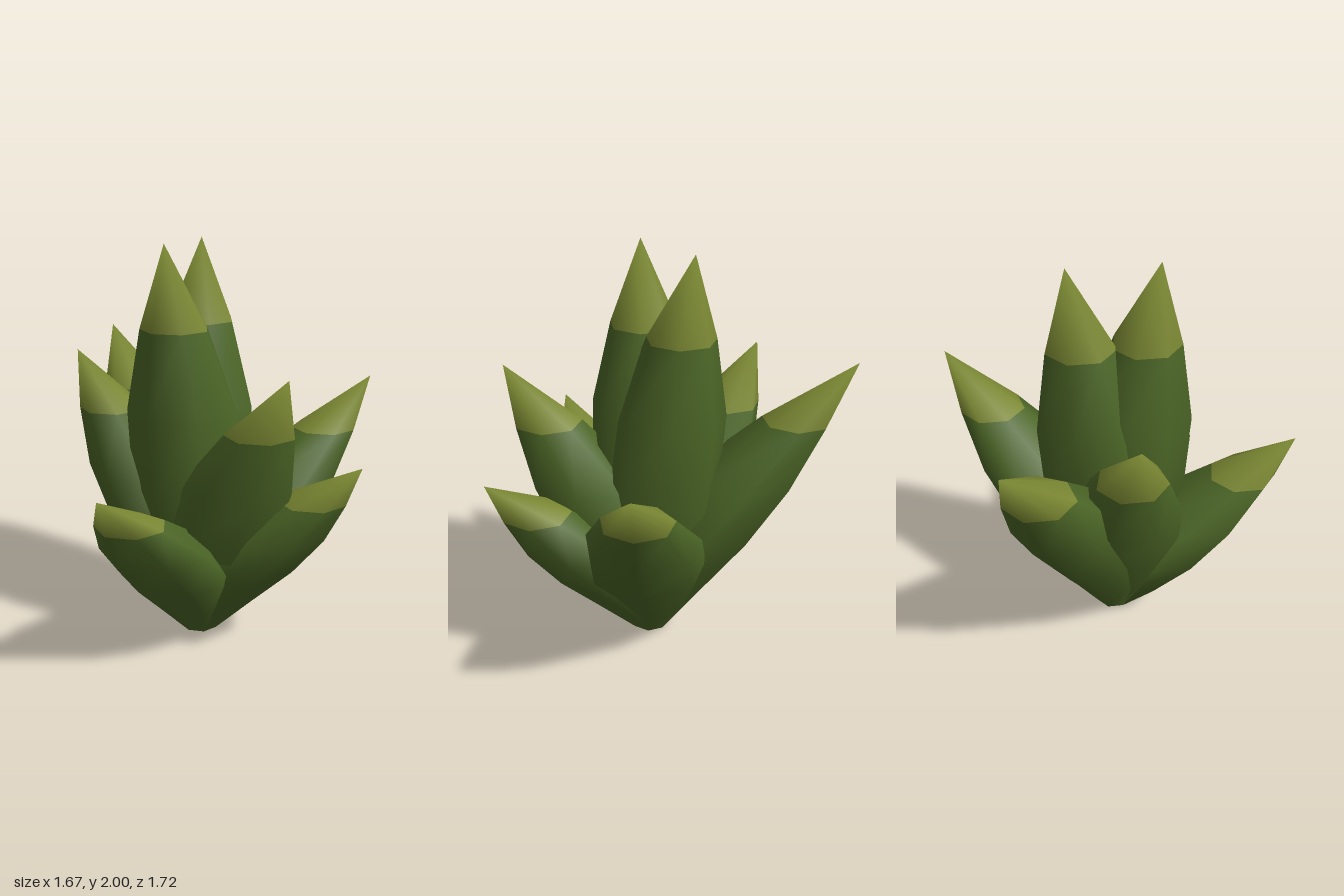
import * as THREE from 'three';

const SIDES = 7;
const RADII = [0.094, 0.225, 0.296, 0.278, 0.168]; // leaf radius at each fifth of its height
const BASE = [-0.024, -0.06];                      // shared root position (x, z)

const leafGreen = new THREE.MeshStandardMaterial({ color: 0x4b6526 });
leafGreen.name = 'leafGreen';
const tipOlive = new THREE.MeshStandardMaterial({ color: 0x7b8833 });
tipOlive.name = 'tipOlive';

// A leaf is a stack of level rings that curve outwards to a pointed tip
function leafGeometry([tx, ty, tz]) {
  const pos = [], index = [];
  RADII.forEach((r, i) => {
    const t = i / RADII.length, bend = t ** 1.5;
    for (let k = 0; k < SIDES; k++) {
      const a = (k / SIDES) * Math.PI * 2;
      pos.push(
        BASE[0] + (tx - BASE[0]) * bend + r * Math.cos(a),
        ty * t,
        BASE[1] + (tz - BASE[1]) * bend + r * Math.sin(a));
    }
  });
  pos.push(tx, ty, tz);

  const last = RADII.length - 1;
  for (let i = 0; i < last; i++) {
    for (let k = 0; k < SIDES; k++) {
      const a = i * SIDES + k, b = i * SIDES + (k + 1) % SIDES;
      index.push(a, a + SIDES, b, b, a + SIDES, b + SIDES);
    }
  }
  const bodyCount = index.length;
  for (let k = 0; k < SIDES; k++) {
    index.push(last * SIDES + k, RADII.length * SIDES, last * SIDES + (k + 1) % SIDES);
  }

  const g = new THREE.BufferGeometry();
  g.setAttribute('position', new THREE.Float32BufferAttribute(pos, 3));
  g.setIndex(index);
  g.addGroup(0, bodyCount, 0);
  g.addGroup(bodyCount, index.length - bodyCount, 1);
  g.computeVertexNormals();
  return g;
}

export function createModel() {
  const group = new THREE.Group();
  group.name = 'succulent';

  // Leaf tips
  const leaves = {
    centreFrontLeaf: [-0.105, 2.0, 0.152],
    centreBackLeaf: [-0.115, 2.0, -0.27],
    backRightLeaf: [-0.84, 1.46, -0.61],
    rightLeaf: [-0.705, 1.43, -0.025],
    frontLeftLeaf: [0.572, 1.46, 0.298],
    backLeftLeaf: [0.612, 1.25, -0.86],
    leftLeaf: [0.835, 1.015, 0.012],
    frontLeaf: [-0.066, 0.99, 0.86],
  };
  for (const [name, tip] of Object.entries(leaves)) {
    const leaf = new THREE.Mesh(leafGeometry(tip), [leafGreen, tipOlive]);
    leaf.name = name;
    group.add(leaf);
  }

  // Flat underside closing the shared root
  const root = new THREE.Mesh(new THREE.CircleGeometry(RADII[0], SIDES).rotateX(Math.PI / 2), leafGreen);
  root.name = 'rootBase';
  root.position.set(BASE[0], 0, BASE[1]);
  group.add(root);

  return group;
}
